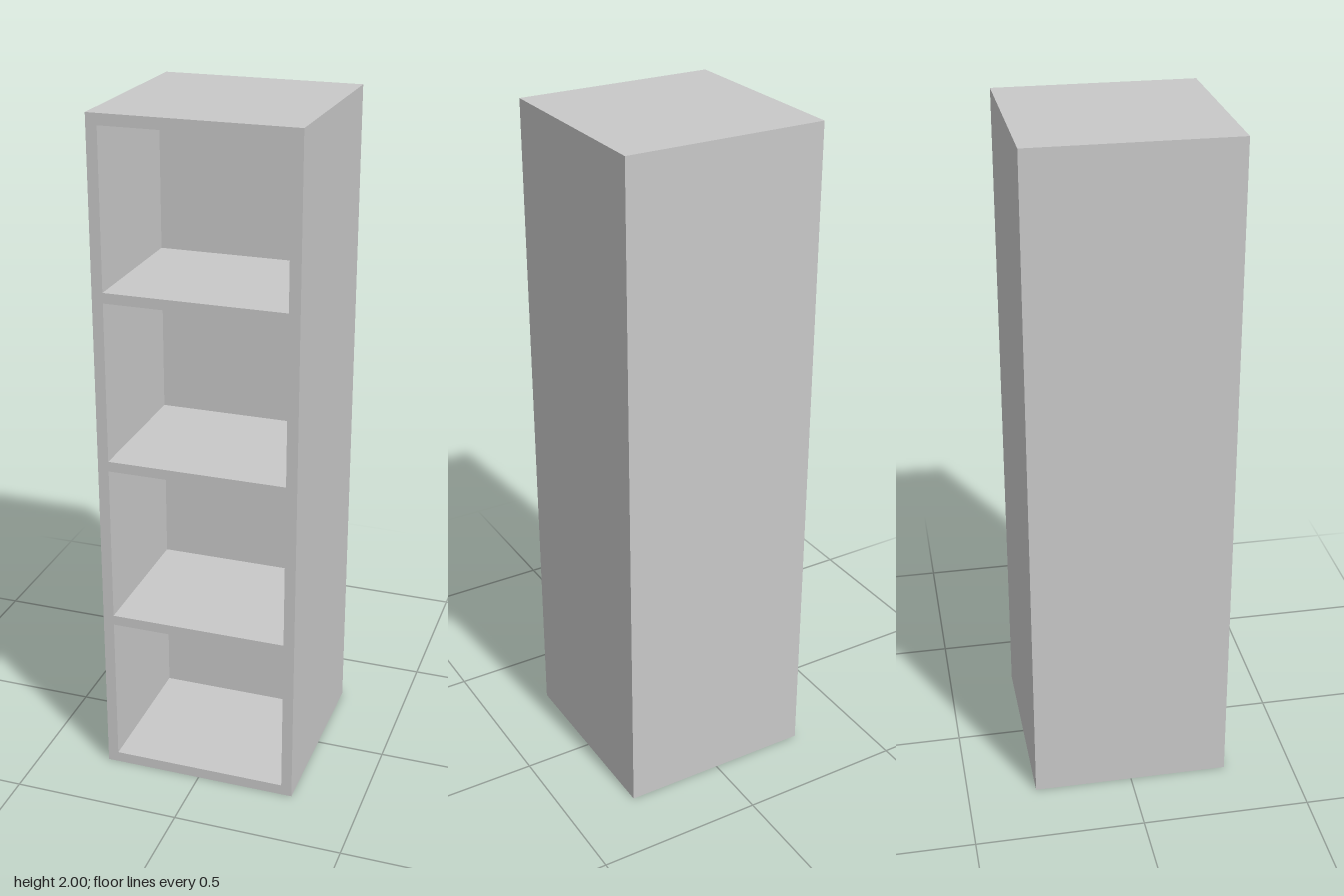
import * as THREE from 'three';

const HALF = 0.294;     // half width and half depth
const HEIGHT = 2;
const WALL = 0.032;     // side, top and bottom boards
const SHELF = 0.03;     // shelf thickness
const BACK_Z = -0.149;  // inner face of the back
const BAYS = 4;

function rectangle(path, x0, y0, x1, y1) {
  path.moveTo(x0, y0);
  path.lineTo(x1, y0);
  path.lineTo(x1, y1);
  path.lineTo(x0, y1);
  path.closePath();
  return path;
}

export function createModel() {
  const model = new THREE.Group();
  model.name = 'shelfUnit';
  const grey = new THREE.MeshStandardMaterial({ color: 0xc8c8c8 });
  grey.name = 'lightGrey';

  // Frame and shelves: one outline with an opening for each bay
  const outline = rectangle(new THREE.Shape(), -HALF, 0, HALF, HEIGHT);
  const pitch = HEIGHT / BAYS;
  for (let i = 0; i < BAYS; i++) {
    const bottom = i === 0 ? WALL : i * pitch + SHELF / 2;
    const top = i === BAYS - 1 ? HEIGHT - WALL : (i + 1) * pitch - SHELF / 2;
    outline.holes.push(rectangle(new THREE.Path(), -HALF + WALL, bottom, HALF - WALL, top));
  }
  const frameGeometry = new THREE.ExtrudeGeometry(outline, { depth: HALF - BACK_Z, bevelEnabled: false });
  frameGeometry.translate(0, 0, BACK_Z);
  const frame = new THREE.Mesh(frameGeometry, grey);
  frame.name = 'frameAndShelves';
  model.add(frame);

  // Thick back closing all the bays
  const depth = BACK_Z + HALF;
  const back = new THREE.Mesh(new THREE.BoxGeometry(2 * HALF, HEIGHT, depth), grey);
  back.position.set(0, HEIGHT / 2, -HALF + depth / 2);
  back.name = 'back';
  model.add(back);

  return model;
}
